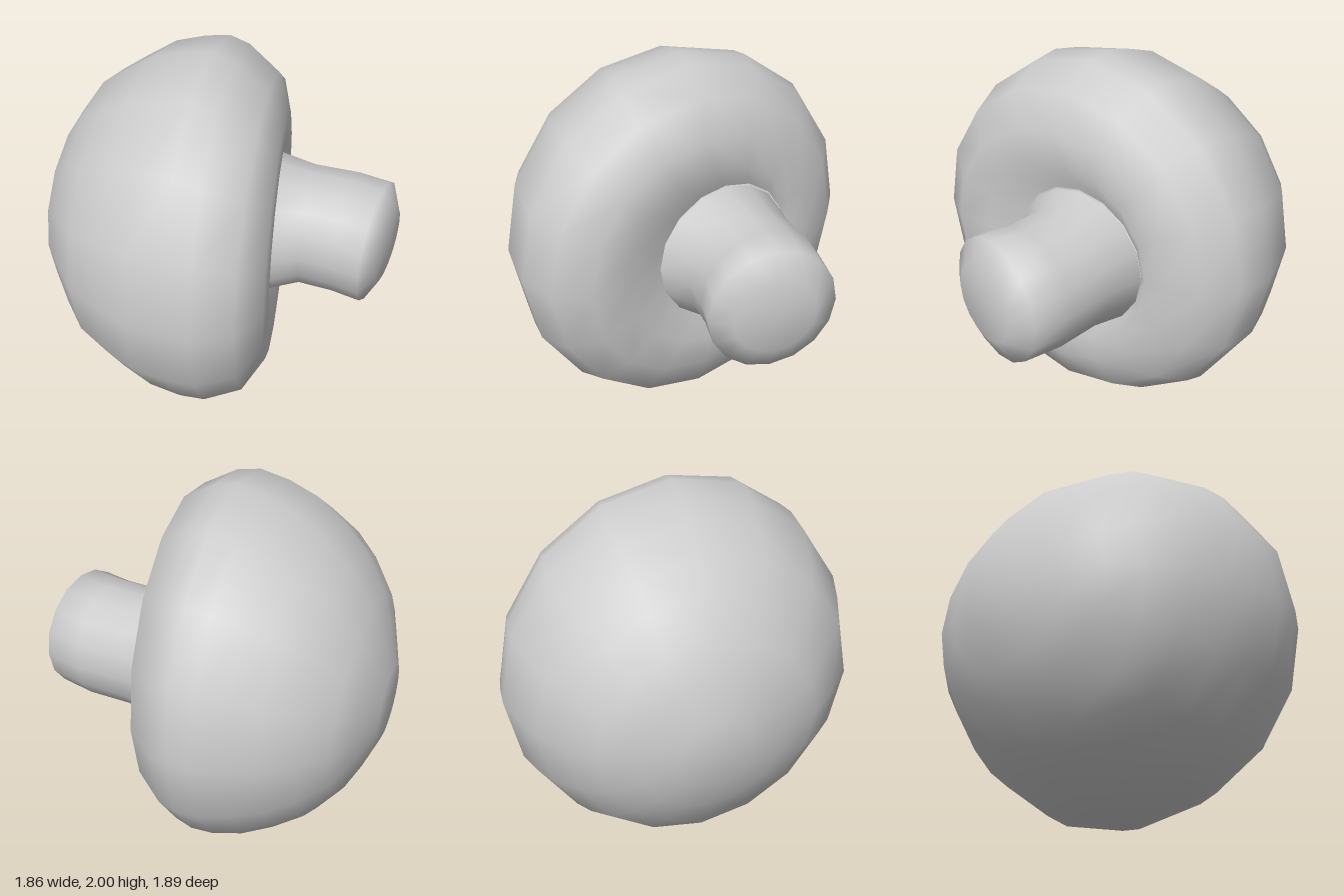
import * as THREE from 'three';
import { mergeVertices } from 'three/addons/utils/BufferGeometryUtils.js';

const SIDES = 16;

// Smooth skin over tilted elliptical rings that advance along +x.
// Each ring: [x at back, z at back, x at front, z at front, half height]
function loft(rings, midY) {
  const positions = [], index = [];
  for (const [xb, zb, xf, zf, ry] of rings) {
    for (let j = 0; j < SIDES; j++) {
      const a = (j / SIDES) * Math.PI * 2, c = Math.cos(a);
      positions.push(
        (xb + xf) / 2 + ((xf - xb) / 2) * c,
        midY + ry * Math.sin(a),
        (zb + zf) / 2 + ((zf - zb) / 2) * c
      );
    }
  }
  for (let i = 0; i < rings.length - 1; i++) {
    for (let j = 0; j < SIDES; j++) {
      const k = (j + 1) % SIDES;
      const a = i * SIDES + j, b = a + SIDES, c = (i + 1) * SIDES + k, d = i * SIDES + k;
      if (rings[i + 1][4] > 0) index.push(a, b, c);
      if (rings[i][4] > 0) index.push(a, c, d);
    }
  }
  let geometry = new THREE.BufferGeometry();
  geometry.setAttribute('position', new THREE.Float32BufferAttribute(positions, 3));
  geometry.setIndex(index);
  geometry = mergeVertices(geometry, 1e-4);
  geometry.computeVertexNormals();
  return geometry;
}

export function createModel() {
  const group = new THREE.Group();
  group.name = 'mushroom';
  const material = new THREE.MeshStandardMaterial({ color: 0xcccccc, side: THREE.DoubleSide });

  // Domed cap, rolled over a slanted rim into a shallow hollow around the stem
  const cap = new THREE.Mesh(loft([
    [-0.93, -0.07, -0.93, -0.07, 0],
    [-0.93, -0.26, -0.92, 0.13, 0.2],
    [-0.865, -0.44, -0.85, 0.32, 0.38],
    [-0.8, -0.61, -0.78, 0.51, 0.52],
    [-0.67, -0.73, -0.645, 0.66, 0.71],
    [-0.53, -0.84, -0.51, 0.8, 0.81],
    [-0.38, -0.9, -0.335, 0.875, 0.92],
    [-0.23, -0.95, -0.16, 0.94, 0.97],
    [-0.11, -0.945, 0.02, 0.945, 1],
    [-0.02, -0.93, 0.17, 0.945, 0.97],
    [0.15, -0.81, 0.36, 0.85, 0.86],
    [0.22, -0.64, 0.45, 0.67, 0.67],
    [0.24, -0.53, 0.42, 0.47, 0.51],
    [0.22, -0.49, 0.33, 0.27, 0.38],
  ], 1), material);
  cap.name = 'cap';

  // Short stem with a rounded, slightly skewed end
  const stem = new THREE.Mesh(loft([
    [0.22, -0.49, 0.33, 0.27, 0.38],
    [0.42, -0.465, 0.49, 0.18, 0.33],
    [0.67, -0.47, 0.66, 0.19, 0.33],
    [0.88, -0.43, 0.81, 0.22, 0.33],
    [0.93, -0.3, 0.88, 0.12, 0.2],
    [0.915, -0.1, 0.915, -0.1, 0],
  ], 0.99), material);
  stem.name = 'stem';

  group.add(cap, stem);
  return group;
}
